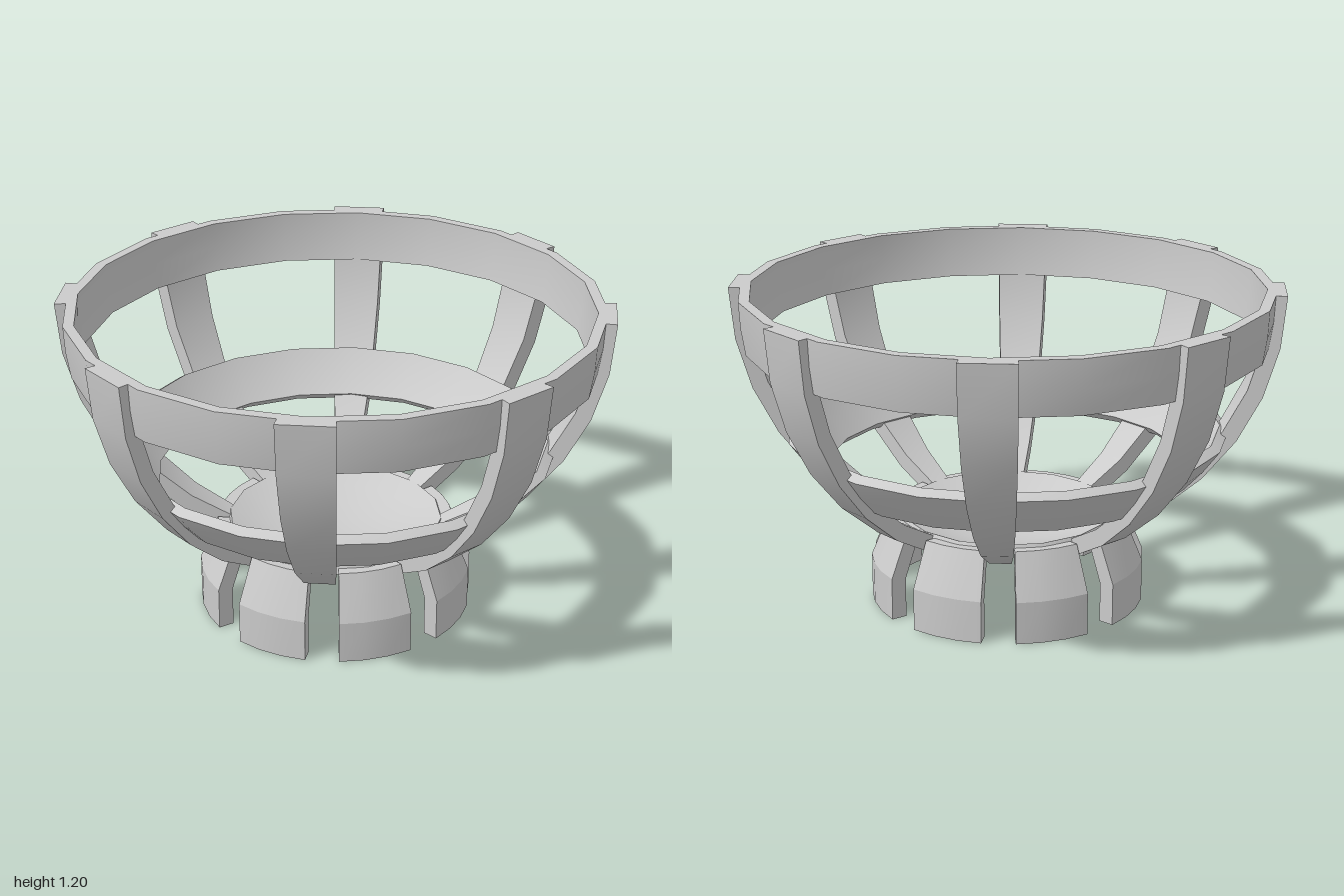
import * as THREE from 'three';
import { toCreasedNormals } from 'three/addons/utils/BufferGeometryUtils.js';

const RIM_Y = 1.2;            // the bowl is a hemisphere hanging below this height
const COUNT = 8;
const STEP = (Math.PI * 2) / COUNT;
const RIB_ANGLE = THREE.MathUtils.degToRad(16.3);
const material = new THREE.MeshStandardMaterial({ color: 0xcccccc });

// Sweep a closed (radius, height) profile about the y axis, centred on an angle
function sweep(name, profile, centre, span, segments, crease = 0.5) {
  let geo = new THREE.ExtrudeGeometry(new THREE.Shape(profile), {
    depth: 1, steps: segments, bevelEnabled: false,
  });
  const p = geo.attributes.position;
  for (let i = 0; i < p.count; i++) {
    const r = p.getX(i);
    const a = centre + (p.getZ(i) - 0.5) * span;
    p.setXYZ(i, r * Math.cos(a), p.getY(i), r * Math.sin(a));
  }
  geo.deleteAttribute('uv');
  geo = toCreasedNormals(geo, crease);
  const mesh = new THREE.Mesh(geo, material);
  mesh.name = name;
  return mesh;
}

// Profile of a spherical shell between two angles (degrees below the rim)
function shell(inner, outer, from, to, steps) {
  const arc = (radius, a, b) => Array.from({ length: steps + 1 }, (_, i) => {
    const t = THREE.MathUtils.degToRad(a + ((b - a) * i) / steps);
    return new THREE.Vector2(radius * Math.cos(t), RIM_Y - radius * Math.sin(t));
  });
  return [...arc(outer, from, to), ...arc(inner, to, from)];
}

export function createModel() {
  const model = new THREE.Group();
  model.name = 'openBowl';

  // Horizontal bands and the shallow dish at the bottom
  const full = Math.PI * 2;
  model.add(sweep('rimBand', shell(0.945, 0.985, 0, 11.7, 2), RIB_ANGLE, full, 20));
  model.add(sweep('middleBand', shell(0.945, 0.985, 33.5, 45.3, 2), RIB_ANGLE, full, 20));
  model.add(sweep('bottomDish', shell(0.95, 0.985, 65, 89.9, 4), RIB_ANGLE, full, 16));

  // Tapering ribs from the rim to the centre of the underside
  const ribProfile = shell(0.955, 1.017, 0, 88.5, 8);

  // Flared feet standing between the ribs
  const footProfile = [
    [0.515, 0], [0.515, 0.16], [0.445, 0.33], [0.39, 0.325], [0.455, 0.15], [0.455, 0],
  ].map(([r, y]) => new THREE.Vector2(r, y));

  for (let i = 0; i < COUNT; i++) {
    const a = RIB_ANGLE + i * STEP;
    model.add(sweep('rib', ribProfile, a, THREE.MathUtils.degToRad(11.4), 1));
    model.add(sweep('foot', footProfile, a - STEP / 2, THREE.MathUtils.degToRad(31), 3, 0.35));
  }
  return model;
}
